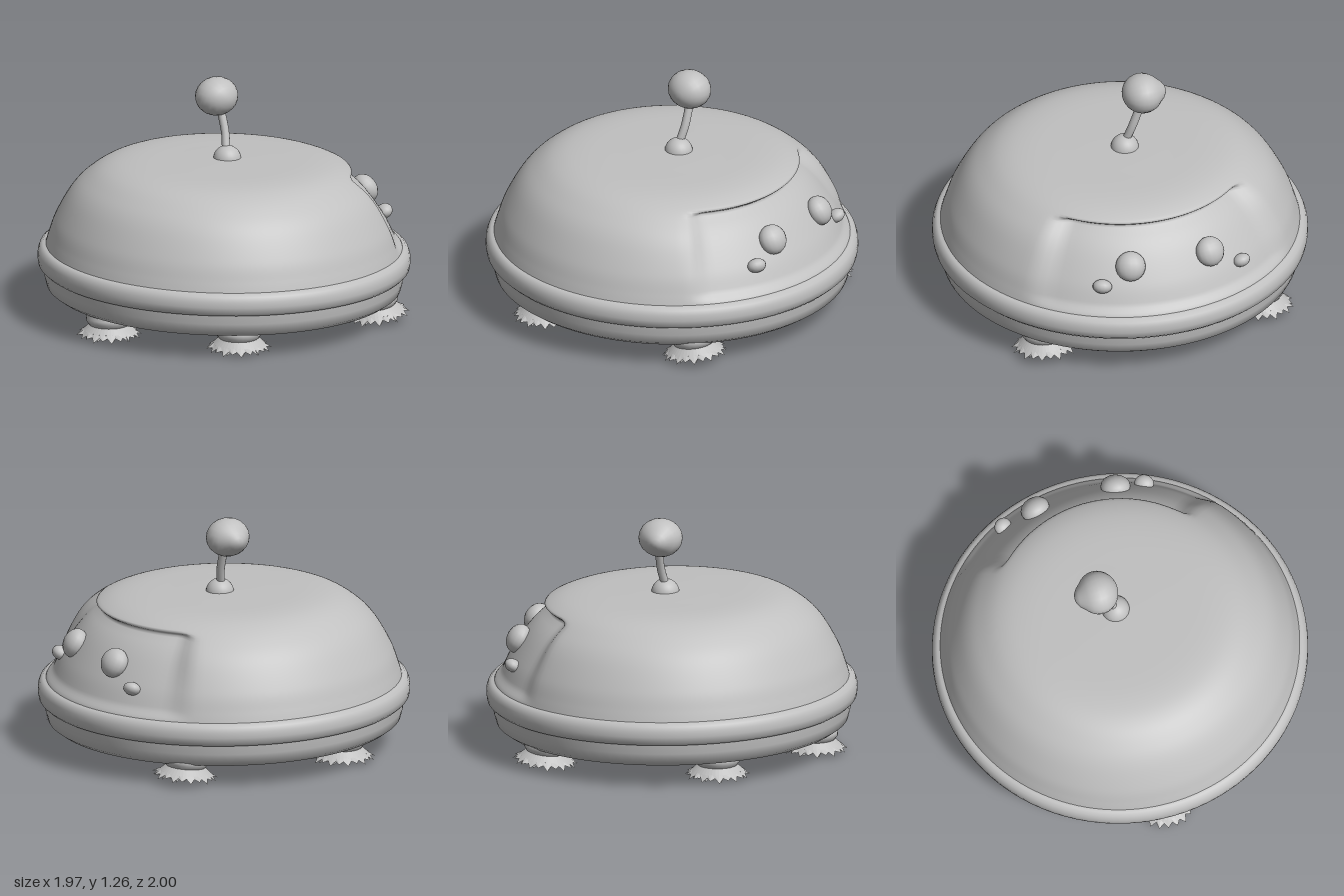
import * as THREE from 'three';
import { mergeVertices, toCreasedNormals } from 'three/addons/utils/BufferGeometryUtils.js';

const shell = new THREE.MeshStandardMaterial({ color: 0xc0c0c0, side: THREE.DoubleSide });
shell.name = 'light grey';

const pts = (list) => list.map(([r, y]) => new THREE.Vector2(r, y));

function add(parent, name, geometry, x = 0, y = 0, z = 0) {
  const mesh = new THREE.Mesh(geometry, shell);
  mesh.name = name;
  mesh.position.set(x, y, z);
  parent.add(mesh);
  return mesh;
}

// Join the lathe seam and recompute smooth normals
function weld(geometry) {
  geometry.deleteAttribute('uv');
  geometry.deleteAttribute('normal');
  const g = mergeVertices(geometry, 1e-4);
  g.computeVertexNormals();
  return g;
}

// Domed cover with a recessed face panel on the +x side
function domeGeometry() {
  const curve = new THREE.SplineCurve(pts([
    [0.945, 0.36], [0.925, 0.43], [0.89, 0.53], [0.815, 0.665], [0.735, 0.75],
    [0.63, 0.815], [0.49, 0.845], [0.25, 0.853], [0, 0.856],
  ]));
  const profile = curve.getPoints(64);
  profile[64].set(0, 0.856);
  const g = new THREE.LatheGeometry(profile, 144);
  const p = g.attributes.position;
  const { smoothstep, lerp, clamp } = THREE.MathUtils;
  for (let i = 0; i < p.count; i++) {
    const x = p.getX(i), y = p.getY(i), z = p.getZ(i);
    const r = Math.hypot(x, z);
    if (r < 0.3) continue;
    const angle = Math.abs(Math.atan2(z, x));
    const mask = (1 - smoothstep(angle, 0.72, 0.9))
      * smoothstep(y, 0.38, 0.43) * (1 - smoothstep(y, 0.765, 0.8));
    const depth = lerp(0.025, 0.075, clamp((y - 0.42) / 0.32, 0, 1));
    const k = 1 - mask * depth / r;
    p.setXYZ(i, x * k, y, z * k);
  }
  return weld(g);
}

// Flared foot skirt with a ragged fringe
function fringeGeometry(top, reach) {
  const n = 44;
  const g = new THREE.LatheGeometry(pts([[reach, 0.03], [0.135, 0.058], [0.1, top]]), n);
  const p = g.attributes.position;
  for (let i = 0; i <= n; i++) {
    const k = i % 2 ? 0.84 : 1 - 0.05 * ((i * 7) % 3) / 2;
    const j = i * 3;
    p.setXYZ(j, p.getX(j) * k, 0.022 + (i % 2 ? 0.022 : 0.006 * ((i * 5) % 4)), p.getZ(j) * k);
  }
  const flat = g.toNonIndexed();
  flat.computeVertexNormals();
  return flat;
}

function makeFoot(x, z, tilt) {
  const foot = new THREE.Group();
  foot.name = 'foot';
  add(foot, 'ankle', new THREE.LatheGeometry(pts([
    [0, 0.075], [0.09, 0.075], [0.105, 0.085], [0.12, 0.105], [0.122, 0.125], [0.11, 0.16],
  ]), 28));
  add(foot, 'outerFringe', fringeGeometry(0.09, 0.178));
  add(foot, 'innerFringe', fringeGeometry(0.08, 0.155)).rotation.y = 0.07;
  foot.position.set(x, 0, z);
  foot.rotation.z = tilt;
  foot.position.y = tilt ? 0.02 - x * 0.01 : 0;
  return foot;
}

export function createModel() {
  const model = new THREE.Group();
  model.name = 'domedRobot';

  // Body: slightly tilted as a whole
  const body = new THREE.Group();
  body.name = 'body';
  body.rotation.z = -0.014;
  body.scale.z = 1.015;
  model.add(body);

  add(body, 'basePan', toCreasedNormals(new THREE.LatheGeometry(pts([
    [0, 0.135], [0.85, 0.13], [0.9, 0.137], [0.932, 0.16], [0.945, 0.21], [0.95, 0.29],
  ]), 96), 0.7));
  add(body, 'bumperRing', toCreasedNormals(new THREE.LatheGeometry(pts([
    [0.935, 0.265], [0.962, 0.262], [0.978, 0.278], [0.983, 0.31], [0.981, 0.34],
    [0.972, 0.365], [0.955, 0.38], [0.925, 0.383],
  ]), 96), 0.8));
  add(body, 'dome', domeGeometry());

  // Face: large eyes and small cheeks
  const features = [
    ['eye', 0.785, 0.605, 0.21, 0.062, 0.08],
    ['eye', 0.785, 0.605, -0.235, 0.062, 0.08],
    ['cheek', 0.79, 0.515, 0.37, 0.045, 0.052],
    ['cheek', 0.775, 0.505, -0.415, 0.045, 0.048],
  ];
  for (const [name, x, y, z, depth, size] of features) {
    const f = add(model, name, new THREE.SphereGeometry(1, 16, 12), x, y, z);
    f.scale.set(depth, name === 'eye' ? size : size * 0.72, size);
    f.rotation.set(0, -Math.atan2(z, x), 0.5, 'YXZ');
  }

  // Antenna: socket, bent rod and pointed knob
  add(model, 'antennaSocket', new THREE.SphereGeometry(0.075, 24, 10, 0, Math.PI * 2, 0, Math.PI / 2),
    0.037, 0.845, -0.015);
  const rod = new THREE.CatmullRomCurve3([
    new THREE.Vector3(0.035, 0.89, -0.022),
    new THREE.Vector3(0.052, 0.98, -0.052),
    new THREE.Vector3(0.055, 1.1, -0.095),
  ]);
  add(model, 'antennaRod', new THREE.TubeGeometry(rod, 12, 0.022, 12));
  const knob = new THREE.SphereGeometry(1, 20, 14);
  knob.rotateX(-Math.PI / 2);
  knob.scale(0.118, 0.104, 0.108);
  const kp = knob.attributes.position;
  for (let i = 0; i < kp.count; i++) {
    const z = kp.getZ(i);
    if (z < -0.085) kp.setZ(i, z - (-0.085 - z) * 0.9);
  }
  add(model, 'antennaKnob', weld(knob), 0.041, 1.17, -0.112);

  // Five fringed feet
  const feet = [
    [-0.77, 0.01, 0], [-0.38, 0.63, 0], [-0.38, -0.61, 0], [0.56, 0.61, 0.13], [0.56, -0.6, 0.1],
  ];
  for (const [x, z, tilt] of feet) model.add(makeFoot(x, z, tilt));

  return model;
}
